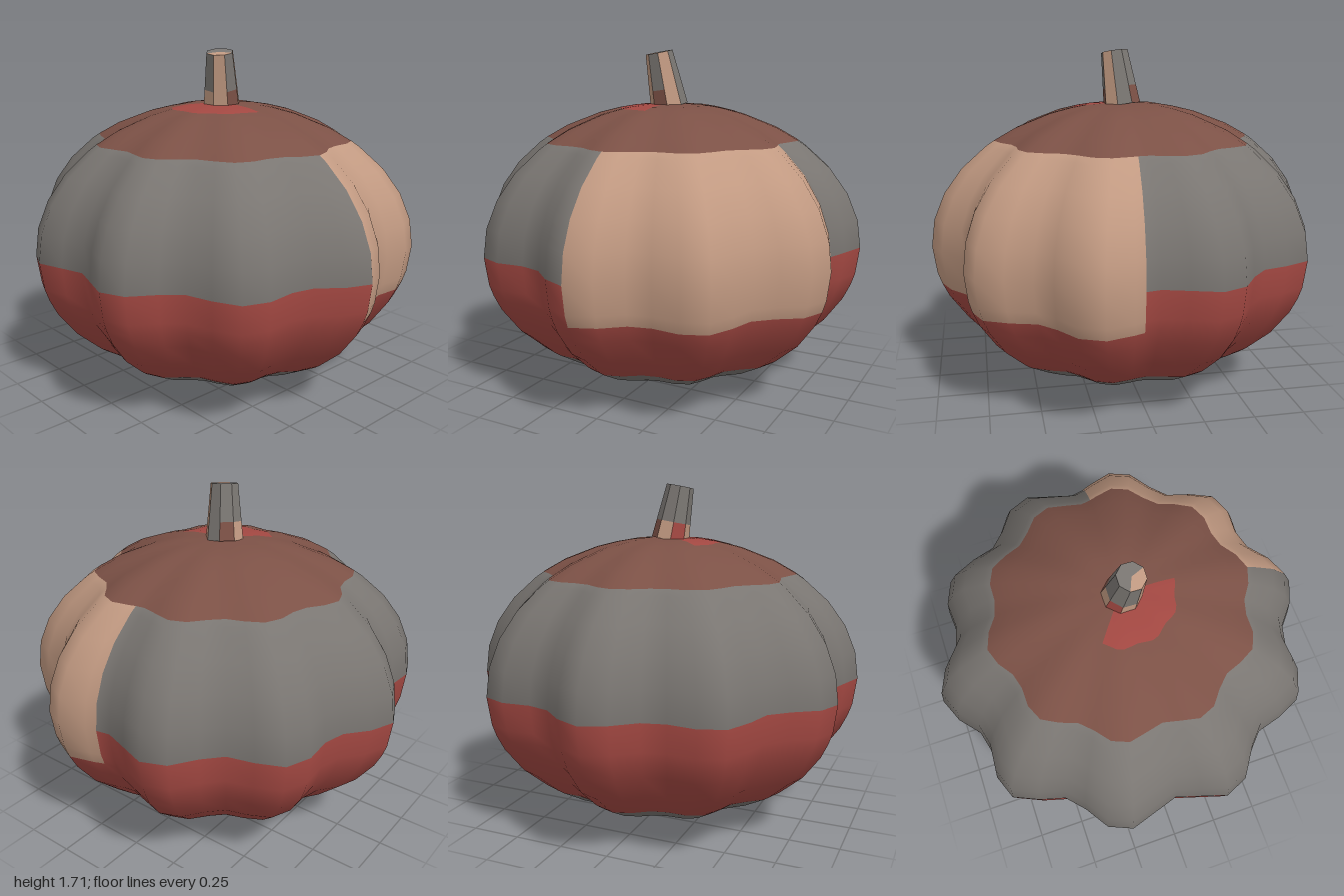
import * as THREE from 'three';

const COLOURS = { gray: 0x7a7672, red: 0xa34842, tan: 0xc29a82, brown: 0x7c5146 };
const NAMES = Object.keys(COLOURS);
const CENTRE_Y = 0.73, HALF_HEIGHT = 0.722, DEG = Math.PI / 180;

// Gather triangles per colour into one geometry with a group for each material
function paintedGroups(geometry, lists) {
  geometry.setIndex(NAMES.flatMap((n) => lists[n]));
  geometry.clearGroups();
  let start = 0;
  NAMES.forEach((n, i) => {
    geometry.addGroup(start, lists[n].length, i);
    start += lists[n].length;
  });
}
const emptyLists = () => Object.fromEntries(NAMES.map((n) => [n, []]));

// Colour patches on the gourd, by height and by angle (0 = left side, 90 = front)
function bodyColour(y, deg) {
  if (y > 1.425 && deg > 0 && deg < 127.5) return 'red';
  if (y > 1.268) return 'brown';
  if (y > 0.53 && deg > 274.5) return 'tan';
  if (y > 0.73) return 'gray';
  return y > 0.2 ? 'red' : 'gray';
}

// Flattened sphere with ten rounded ribs
function bodyGeometry() {
  const rows = [1.425, 1.268, 0.53, 0.2].map((y) => Math.acos((y - CENTRE_Y) / HALF_HEIGHT));
  for (let i = 0; i <= 16; i++) rows.push((i / 16) * Math.PI);
  rows.sort((a, b) => a - b);
  const angles = [274.5];
  for (let j = 0; j < 48; j++) angles.push(j * 7.5);
  angles.sort((a, b) => a - b);
  const n = angles.length, last = rows.length - 1;

  const position = [];
  for (const phi of rows) {
    const s = Math.sin(phi);
    for (const deg of angles) {
      const t = deg * DEG;
      const r = s * (1 - 0.06 * (0.4 + 0.6 * s) * (1 - Math.cos(10 * t)));
      position.push(r * Math.cos(t), CENTRE_Y + HALF_HEIGHT * Math.cos(phi), r * Math.sin(t));
    }
  }
  // Each pole is a single shared point
  const id = (i, j) => i * n + (i === 0 || i === last ? 0 : j % n);
  const lists = emptyLists();
  for (let i = 0; i < last; i++) {
    const y = CENTRE_Y + HALF_HEIGHT * Math.cos((rows[i] + rows[i + 1]) / 2);
    for (let j = 0; j < n; j++) {
      const deg = (angles[j] + (j + 1 < n ? angles[j + 1] : 360)) / 2;
      const list = lists[bodyColour(y, deg)];
      const a = id(i, j), b = id(i, j + 1), c = id(i + 1, j), d = id(i + 1, j + 1);
      if (i > 0) list.push(a, b, c);
      if (i < last - 1) list.push(b, d, c);
      else list.push(a, d, c);
    }
  }
  const geometry = new THREE.BufferGeometry();
  geometry.setAttribute('position', new THREE.Float32BufferAttribute(position, 3));
  paintedGroups(geometry, lists);
  geometry.computeVertexNormals();
  return geometry;
}

// Eight-sided tapered stem with patchy panels
function stemGeometry(length) {
  const sides = 8, levels = 3;
  const geometry = new THREE.CylinderGeometry(0.07, 0.097, length, sides, levels, false, -Math.PI / 8).toNonIndexed();
  geometry.computeVertexNormals();
  const upper = ['gray', 'tan', 'gray', 'tan', 'gray', 'gray', 'gray', 'gray'];
  const lower = ['tan', 'tan', 'brown', 'tan', 'gray', 'brown', 'tan', 'red'];
  const lists = emptyLists();
  const wall = sides * levels * 6;
  for (let v = 0; v < geometry.attributes.position.count; v += 3) {
    const quad = Math.floor(v / 6), side = Math.floor(quad / levels);
    let name;
    if (v < wall) name = (quad % levels === levels - 1 ? lower : upper)[side];
    else name = ((v - wall) / 3) % sides < 3 ? 'tan' : 'gray';
    lists[name].push(v, v + 1, v + 2);
  }
  paintedGroups(geometry, lists);
  return geometry;
}

export function createModel() {
  const materials = NAMES.map((name) => {
    const m = new THREE.MeshStandardMaterial({ color: COLOURS[name] });
    m.name = name;
    return m;
  });
  const model = new THREE.Group();
  model.name = 'pumpkin';

  const body = new THREE.Mesh(bodyGeometry(), materials);
  body.name = 'ribbedBody';
  model.add(body);

  // Stem leans forward and to the left
  const base = new THREE.Vector3(0.004, 1.435, 0.006);
  const tip = new THREE.Vector3(0.036, 1.706, 0.048);
  const axis = tip.clone().sub(base);
  const stem = new THREE.Mesh(stemGeometry(axis.length()), materials);
  stem.name = 'stem';
  stem.position.copy(base).add(tip).multiplyScalar(0.5);
  stem.quaternion.setFromUnitVectors(new THREE.Vector3(0, 1, 0), axis.normalize());
  model.add(stem);

  // Stand on the ground
  model.position.y = -0.008;
  const root = new THREE.Group();
  root.name = 'model';
  root.add(model);
  return root;
}
